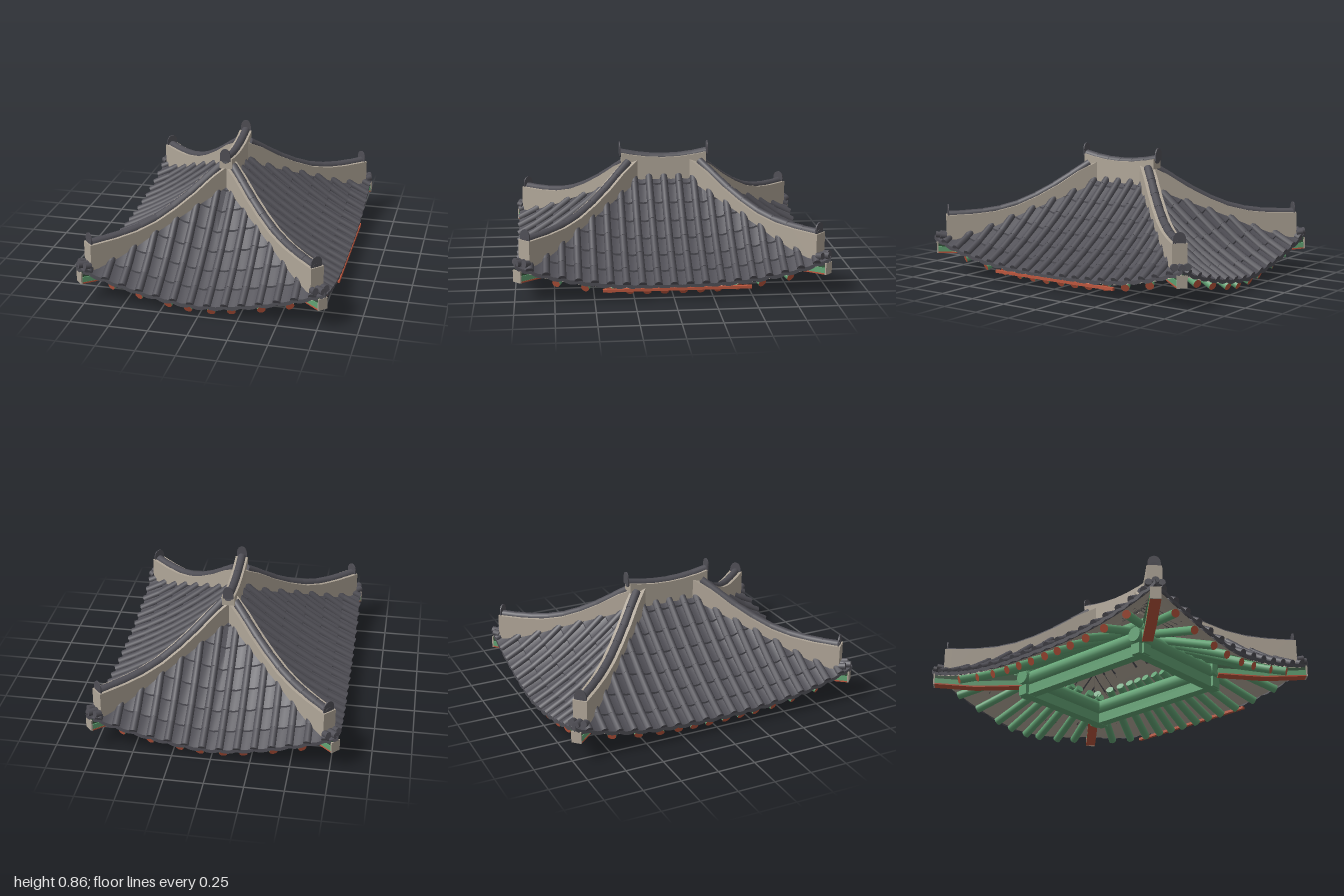
import * as THREE from 'three';
import { toCreasedNormals } from 'three/addons/utils/BufferGeometryUtils.js';

const V = (x, y, z) => new THREE.Vector3(x, y, z);
const flat = (name, color) => {
  const m = new THREE.MeshStandardMaterial({ color, side: THREE.DoubleSide });
  m.name = name;
  return m;
};
const HX = 0.795, HZ = 0.99, OFF = 0.2, ROW = 0.12;

// Piecewise linear profile through evenly spaced values
const profile = (step, vals) => (d) => {
  const i = Math.min(Math.max(Math.floor(d / step), 0), vals.length - 2);
  return THREE.MathUtils.lerp(vals[i], vals[i + 1], d / step - i);
};
const hipY = profile(0.1, [0.625, 0.57, 0.515, 0.46, 0.405, 0.342, 0.29, 0.253, 0.24]);
const capY = profile(0.1, [0.79, 0.70, 0.61, 0.535, 0.475, 0.44, 0.425, 0.42, 0.42]);
const ridgeY = (z) => 0.75 + 0.035 * (z / 0.29) ** 2;

// The two kinds of roof slope: t runs along the eave, w is the distance in from it
const slopes = {
  front: {
    half: HX,
    reach: (t) => Math.max(0, HZ - OFF - Math.abs(t)),
    top: (t) => hipY(Math.abs(t)),
    eave: (t) => 0.07 + 0.175 * (Math.abs(t) / HX) ** 1.6,
    at: (t, w, y, s) => V(t, y, s * (HZ - w)),
    rolls: [...Array(14)].map((_, i) => (i - 6.5) * 0.11),
    rafters: [0.075, 0.205, 0.395, 0.575],
    inner: (t, s) => V(t * 0.58, 0.265, s * 0.47),
  },
  side: {
    half: HZ,
    reach: (t) => HX - Math.max(0.03, Math.abs(t) - OFF),
    top: (t) => Math.abs(t) < 0.23 ? 0.625 : Math.min(0.625, hipY(Math.abs(t) - OFF) + 0.008),
    eave: (t) => 0.1 + 0.145 * (Math.abs(t) / HZ) ** 2.6,
    at: (t, w, y, s) => V(s * (HX - w), y, t),
    rolls: [...Array(19)].map((_, i) => (i - 9) * 0.1),
    rafters: [0.06, 0.17, 0.28, 0.41, 0.56, 0.74],
    inner: (t, s) => V(s * 0.32, 0.29, t * 0.66),
  },
};
const pointOn = (p, s, t, w, lift = 0) => {
  const max = p.reach(t);
  w = Math.min(w, max);
  const k = max > 0.001 ? 1 - w / max : 1;
  const drop = k + 0.3 * k * (1 - k);
  return p.at(t, w, THREE.MathUtils.lerp(p.top(t), p.eave(t), drop) + lift, s);
};

// Surface or tube made from rows of points
function loft(rows, closed = false) {
  const pos = [], idx = [], n = rows[0].length;
  rows.forEach((r) => r.forEach((v) => pos.push(v.x, v.y, v.z)));
  for (let i = 0; i < rows.length - 1; i++) {
    for (let j = 0; j < (closed ? n : n - 1); j++) {
      const a = i * n + j, b = i * n + (j + 1) % n;
      idx.push(a, b, a + n, b, b + n, a + n);
    }
  }
  if (closed) {
    const e = (rows.length - 1) * n;
    idx.push(0, 2, 1, 0, 3, 2, e, e + 1, e + 2, e, e + 2, e + 3);
  }
  const g = new THREE.BufferGeometry();
  g.setAttribute('position', new THREE.Float32BufferAttribute(pos, 3));
  g.setIndex(idx);
  return toCreasedNormals(g, 0.5);
}

export function createModel() {
  const tile = flat('charcoal tile', 0x504f56);
  const plaster = flat('plaster', 0xb0a698);
  const green = flat('painted green', 0x62a374);
  const darkGreen = flat('dark green', 0x35543b);
  const orange = flat('rust orange', 0xbd573e);
  const model = new THREE.Group();
  model.name = 'hippedTileRoof';

  const add = (name, geo, mat) => {
    const m = new THREE.Mesh(geo, mat);
    m.name = name;
    model.add(m);
    return m;
  };
  const rod = (name, a, b, r1, r2, mat, sides = 12) => {
    const dir = b.clone().sub(a);
    const m = add(name, new THREE.CylinderGeometry(r2, r1, dir.length(), sides), mat);
    m.position.copy(a).add(b).multiplyScalar(0.5);
    m.quaternion.setFromUnitVectors(V(0, 1, 0), dir.normalize());
  };

  for (const [key, p] of Object.entries(slopes)) {
    for (const s of [1, -1]) {
      // Stepped, dished pan tiles between the rolls
      const edges = [-p.half, ...p.rolls.filter((t) => Math.abs(t) < p.half - 0.02), p.half];
      for (let c = 0; c < edges.length - 1; c++) {
        const cols = [];
        for (let i = 0; i <= 4; i++) {
          const t = THREE.MathUtils.lerp(edges[c], edges[c + 1], i / 4);
          const dip = -0.012 * Math.sin(Math.PI * i / 4);
          const col = [pointOn(p, s, t, 0, dip - 0.014)];
          for (let k = 0; k < 7; k++) {
            col.push(pointOn(p, s, t, k * ROW, dip + 0.012), pointOn(p, s, t, (k + 1) * ROW, dip));
          }
          cols.push(col);
        }
        add(key + 'PanTiles', loft(cols), tile);
      }
      // Round cover tiles
      for (const t of p.rolls) {
        const max = p.reach(t);
        for (let w = 0; w < max - 0.015; w += ROW) {
          rod(key + 'RollTile', pointOn(p, s, t, w, 0.003), pointOn(p, s, t, Math.min(w + ROW + 0.01, max), 0.003),
            0.026, 0.024, tile, 10);
        }
      }
      // Soffit
      const soffit = [];
      for (let i = 0; i <= 24; i++) {
        const t = (i / 12 - 1) * (p.half - 0.01);
        soffit.push([...Array(9)].map((_, k) => pointOn(p, s, t, 0.012 + k * p.reach(t) / 8, -0.027)));
      }
      add(key + 'Soffit', loft(soffit), plaster);
      // Fanned rafters with painted ends
      for (const r of p.rafters) {
        for (const t of [r, -r]) {
          rod(key + 'Rafter', p.inner(t, s), p.at(t, 0.03, p.eave(t) - 0.046, s), 0.027, 0.027, [green, orange, green]);
        }
      }
    }
  }

  // Straight painted batten under the left eave
  add('eaveBatten', new THREE.BoxGeometry(0.022, 0.018, 0.94), orange).position.set(0.788, 0.074, -0.02);

  // Rounded end plate for ridge and hips
  const plate = (name, w, h, pos, turn) => {
    const sh = new THREE.Shape();
    sh.moveTo(-w / 2, 0);
    sh.lineTo(w / 2, 0);
    sh.lineTo(w / 2, h * 0.5);
    sh.quadraticCurveTo(w * 0.45, h * 0.95, 0, h);
    sh.quadraticCurveTo(-w * 0.45, h * 0.95, -w / 2, h * 0.5);
    const g = new THREE.ExtrudeGeometry(sh, { depth: 0.008, bevelEnabled: false, curveSegments: 6 });
    const m = add(name, g.translate(0, 0, -0.004), tile);
    m.position.copy(pos);
    m.rotation.y = turn;
  };

  // Main ridge: plaster wall, sagging cap, end plates
  const ridgeRings = [-0.285, -0.221, -0.22, -0.11, 0, 0.11, 0.22, 0.221, 0.285].map((z) => {
    const b = Math.abs(z) > 0.2205 ? 0.72 : 0.57, y = ridgeY(z) + 0.005;
    return [V(-0.042, b, z), V(0.042, b, z), V(0.042, y, z), V(-0.042, y, z)];
  });
  add('ridgeWall', loft(ridgeRings, true), plaster);
  for (let i = 0; i < 6; i++) {
    const z = -0.29 + i * 0.58 / 6, z2 = z + 0.58 / 6;
    rod('ridgeCap', V(0, ridgeY(z), z), V(0, ridgeY(z2), z2), 0.029, 0.028, tile);
  }
  for (const s of [1, -1]) plate('ridgeEnd', 0.068, 0.085, V(0, 0.775, s * 0.295), 0);

  // Four hips with their corner beams
  for (const sx of [1, -1]) {
    for (const sz of [1, -1]) {
      const on = (d, y, side = 0) => V(sx * (d + side * 0.7071), y, sz * (d + OFF - side * 0.7071));
      const ring = (d, lo, hi, half) => [on(d, lo, -half), on(d, lo, half), on(d, hi, half), on(d, hi, -half)];
      const walls = [0, 0.1, 0.2, 0.3, 0.4, 0.5, 0.6, 0.7, 0.734]
        .map((d) => ring(d, hipY(d) - 0.025, Math.min(0.745, capY(d) - 0.024), 0.047));
      add('hipWall', loft(walls, true), plaster);
      for (let i = 0; i < 8; i++) {
        const d = 0.04 + i * 0.086, e = d + 0.086;
        rod('hipCap', on(e, capY(e) - 0.027), on(d, capY(d) - 0.027), 0.029, 0.027, tile);
      }
      plate('hipEnd', 0.08, 0.088, on(0.724, 0.378), sx * sz * Math.PI / 4);

      // Corner beam: dark board above a light beam with painted underside and pale end
      const beam = [[0.36, 0.15, 0.3], [0.58, 0.135, 0.25], [0.775, 0.15, 0.222]];
      const layer = (name, lo, hi, half, mat) =>
        add(name, loft(beam.map((b) => ring(b[0], lo(b), hi(b), half)), true), mat);
      layer('cornerBoard', (b) => b[1] + 0.035, (b) => b[2], 0.026, darkGreen);
      layer('cornerBeam', (b) => b[1], (b) => b[1] + 0.035, 0.032, green);
      layer('cornerBeamUnderside', (b) => b[1] - 0.009, (b) => b[1], 0.034, orange);
      add('cornerBeamEnd', loft([0.775, 0.782].map((d) => ring(d, 0.14, 0.217, 0.033)), true), plaster);

      // Tile cluster at the corner
      for (const side of [-0.04, 0, 0.04]) {
        rod('cornerTile', on(0.735, 0.255, side), on(0.785 - Math.abs(side) * 0.5, 0.262, side), 0.022, 0.023, tile, 10);
      }
    }
  }

  // Supporting frame: square beams below, round purlins above, crossing at the corners
  for (const s of [1, -1]) {
    add('sideBeam', new THREE.BoxGeometry(0.065, 0.07, 1.1), green).position.set(s * 0.35, 0.097, 0);
    add('crossBeam', new THREE.BoxGeometry(0.82, 0.07, 0.065), green).position.set(0, 0.095, s * 0.5);
    rod('sidePurlin', V(s * 0.35, 0.19, -0.56), V(s * 0.35, 0.19, 0.56), 0.048, 0.048, green);
    rod('crossPurlin', V(-0.42, 0.19, s * 0.5), V(0.42, 0.19, s * 0.5), 0.048, 0.048, green);
  }
  rod('ridgePurlin', V(0, 0.5, -0.25), V(0, 0.5, 0.25), 0.04, 0.04, green);
  return model;
}
